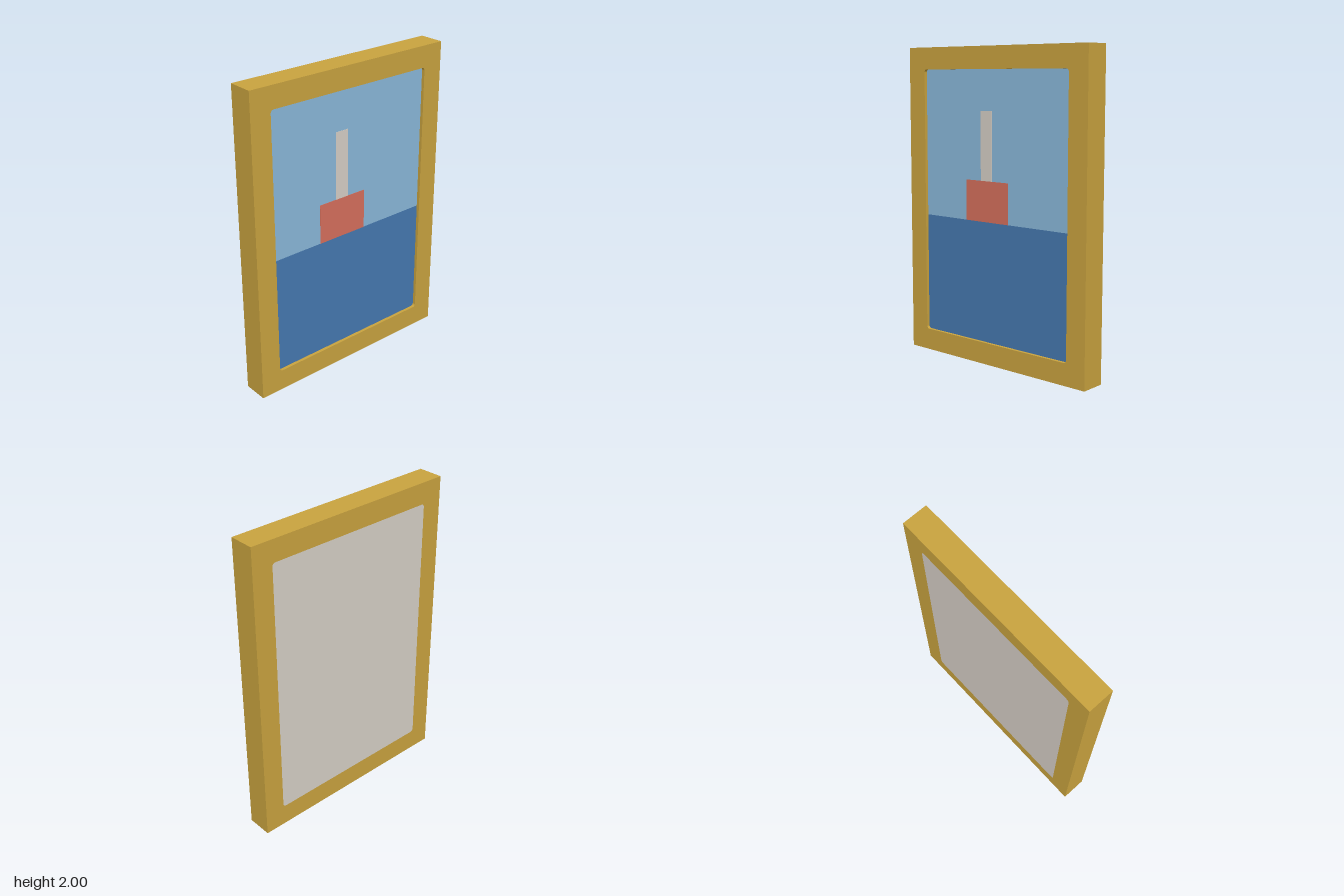
import * as THREE from 'three';

const W = 0.722, D = 0.0825;          // frame half width, half depth
const HW = 0.586, Y0 = 0.14, Y1 = 1.86; // opening
const R = 0.02;                       // opening corner radius
const FACE = 0.062;                   // depth of the painted surface

const mat = (name, color, extra = {}) => {
  const m = new THREE.MeshStandardMaterial({ color, ...extra });
  m.name = name;
  return m;
};

// Rounded rectangle outline, usable as a shape or a hole
function roundedRect(Type, x0, y0, x1, y1, r) {
  const p = new Type();
  p.moveTo(x0 + r, y0);
  p.lineTo(x1 - r, y0);
  p.absarc(x1 - r, y0 + r, r, -Math.PI / 2, 0, false);
  p.lineTo(x1, y1 - r);
  p.absarc(x1 - r, y1 - r, r, 0, Math.PI / 2, false);
  p.lineTo(x0 + r, y1);
  p.absarc(x0 + r, y1 - r, r, Math.PI / 2, Math.PI, false);
  p.lineTo(x0, y0 + r);
  p.absarc(x0 + r, y0 + r, r, Math.PI, Math.PI * 1.5, false);
  return p;
}

export function createModel() {
  const group = new THREE.Group();
  group.name = 'framedPicture';

  const gold = mat('gold frame', 0xc9a33f);
  const linen = mat('linen', 0xd6cfc6);
  const skyBlue = mat('sky blue', 0x8ab8da);
  const seaBlue = mat('sea blue', 0x4678b0);
  const red = mat('boat red', 0xd66f5c);

  const add = (name, geometry, material) => {
    const mesh = new THREE.Mesh(geometry, material);
    mesh.name = name;
    group.add(mesh);
    return mesh;
  };

  // Frame with a softly cornered opening
  const outline = new THREE.Shape([
    new THREE.Vector2(-W, 0), new THREE.Vector2(W, 0),
    new THREE.Vector2(W, 2), new THREE.Vector2(-W, 2),
  ]);
  outline.holes.push(roundedRect(THREE.Path, -HW, Y0, HW, Y1, R));
  const frameGeo = new THREE.ExtrudeGeometry(outline, { depth: 2 * D, bevelEnabled: false, curveSegments: 4 });
  frameGeo.translate(0, 0, -D);
  add('frame', frameGeo, gold);

  // Canvas board filling the opening, flush with the back
  const board = roundedRect(THREE.Shape, -HW, Y0, HW, Y1, R);
  const boardGeo = new THREE.ExtrudeGeometry(board, { depth: D + FACE - 0.004, bevelEnabled: false, curveSegments: 4 });
  boardGeo.translate(0, 0, -D);
  add('canvas', boardGeo, linen);

  // Painted scene: thin plates on the canvas
  const plate = (name, x0, y0, x1, y1, front, material) => {
    const t = 0.003;
    const mesh = add(name, new THREE.BoxGeometry(x1 - x0, y1 - y0, t), material);
    mesh.position.set((x0 + x1) / 2, (y0 + y1) / 2, front - t / 2);
  };
  plate('sky', -HW, 0.912, HW, Y1, FACE, skyBlue);
  plate('sea', -HW, Y0, HW, 0.912, FACE, seaBlue);
  plate('boatHull', -0.235, 0.912, 0.115, 1.17, FACE + 0.002, red);
  plate('boatSail', -0.11, 1.17, -0.018, 1.605, FACE + 0.002, linen);

  return group;
}
